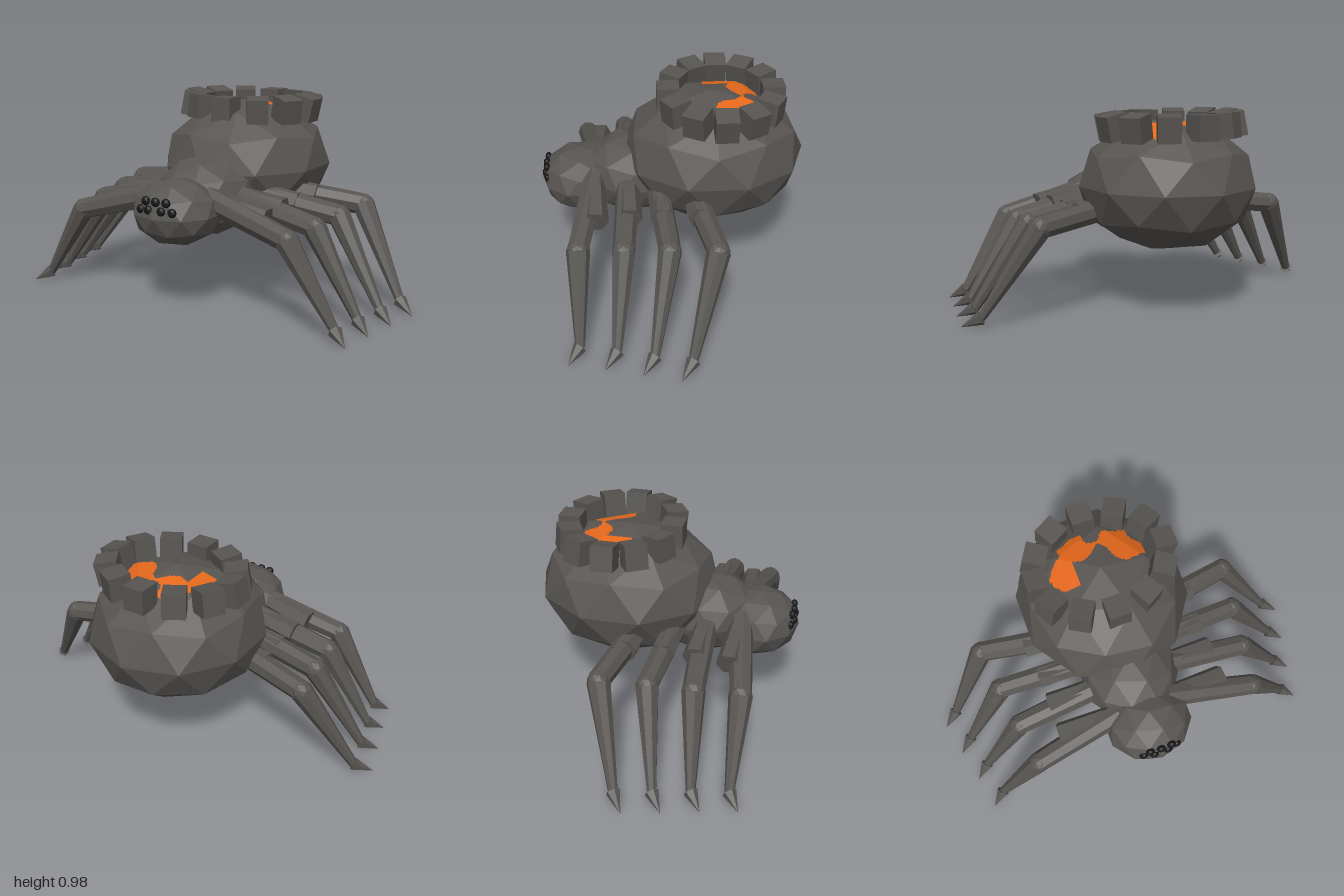
import * as THREE from 'three';

const mat = (name, color) => {
  const m = new THREE.MeshStandardMaterial({ color, flatShading: true });
  m.name = name;
  return m;
};

// Faceted ellipsoid with a vertex at each pole and a ten-sided equator
function facetedBall(cx, cy, cz, rx, ry, rz) {
  const g = new THREE.IcosahedronGeometry(1, 1);
  g.rotateX(-Math.atan((1 + Math.sqrt(5)) / 2));
  g.rotateY(Math.PI / 2);
  g.scale(rx, ry, rz);
  g.translate(cx, cy, cz);
  return g;
}

// Tapered rod between two points
function rod(a, b, ra, rb, sides = 8) {
  const p = new THREE.Vector3(...a), q = new THREE.Vector3(...b);
  const d = q.clone().sub(p);
  const g = new THREE.CylinderGeometry(rb, ra, d.length(), sides);
  g.applyQuaternion(new THREE.Quaternion().setFromUnitVectors(new THREE.Vector3(0, 1, 0), d.normalize()));
  p.add(q).multiplyScalar(0.5);
  g.translate(p.x, p.y, p.z);
  return g;
}

// Height of the upper side of a convex faceted body
function heightOver(geometry) {
  const pos = geometry.attributes.position, tri = new THREE.Triangle(), planes = [];
  for (let i = 0; i < pos.count; i += 3) {
    tri.setFromAttributeAndIndices(pos, i, i + 1, i + 2);
    const n = tri.getNormal(new THREE.Vector3());
    if (n.y > 0.01) planes.push([n, n.dot(tri.a)]);
  }
  return (x, z) => Math.min(...planes.map(([n, d]) => (d - n.x * x - n.z * z) / n.y));
}

function inside(x, z, outline) {
  let hit = false;
  outline.forEach(([ax, az], i) => {
    const [bx, bz] = outline[(i + 1) % outline.length];
    if ((az > z) !== (bz > z) && x < ax + ((bx - ax) * (z - az)) / (bz - az)) hit = !hit;
  });
  return hit;
}

export function createModel() {
  const model = new THREE.Group();
  const rock = mat('dark rock', 0x575451);
  const lava = mat('glowing orange', 0xea6a1c);
  const black = mat('eye black', 0x161616);
  lava.side = THREE.DoubleSide;
  const add = (name, geometry, material = rock, parent = model) => {
    const m = new THREE.Mesh(geometry, material);
    m.name = name;
    parent.add(m);
    return m;
  };

  // Body
  const abdomen = facetedBall(0, 0.62, -0.2, 0.433, 0.325, 0.46);
  add('abdomen', abdomen);
  add('thorax', facetedBall(0, 0.51, 0.19, 0.25, 0.2, 0.27));
  add('head', facetedBall(0, 0.48, 0.46, 0.22, 0.16, 0.2));

  // Eyes: three above four
  for (const [x, y, z] of [[-0.055, 0.557, 0.628], [0, 0.557, 0.632], [0.055, 0.557, 0.628],
    [-0.085, 0.515, 0.625], [-0.035, 0.518, 0.638], [0.035, 0.518, 0.638], [0.085, 0.515, 0.625]]) {
    add('eye', facetedBall(x, y, z, 0.023, 0.022, 0.017), black);
  }

  // Ring of twelve leaning blocks around the crater
  for (let i = 0; i < 12; i++) {
    const a = (i * Math.PI) / 6, c = Math.cos(a), s = Math.sin(a);
    const block = add('craterBlock', new THREE.BoxGeometry(0.11, 0.12, 0.108));
    block.position.set(0.32 * c, 0.912, -0.237 + 0.257 * s);
    block.rotation.set(0, -a, -0.22 * c);
  }

  // Ragged lava patch laid over the top facets
  const outline = [[-0.24, -0.26], [-0.2, -0.31], [-0.155, -0.34], [-0.165, -0.38], [-0.12, -0.4],
    [-0.085, -0.42], [-0.03, -0.42], [-0.02, -0.36], [0.03, -0.345], [0.075, -0.4], [0.14, -0.385],
    [0.19, -0.39], [0.195, -0.335], [0.235, -0.295], [0.235, -0.225], [0.18, -0.215], [0.13, -0.205],
    [0.085, -0.24], [0.07, -0.295], [0.03, -0.335], [-0.01, -0.295], [-0.065, -0.265],
    [-0.11, -0.285], [-0.11, -0.16], [-0.19, -0.16], [-0.235, -0.21]];
  const top = heightOver(abdomen), step = 0.008, points = [];
  for (let x = -0.25; x < 0.25; x += step) {
    for (let z = -0.43; z < -0.14; z += step) {
      if (!inside(x + step / 2, z + step / 2, outline)) continue;
      for (const [u, v] of [[0, 0], [0, 1], [1, 1], [0, 0], [1, 1], [1, 0]]) {
        const px = x + u * step, pz = z + v * step;
        points.push(px, top(px, pz) + 0.004, pz);
      }
    }
  }
  const patch = new THREE.BufferGeometry();
  patch.setAttribute('position', new THREE.Float32BufferAttribute(points, 3));
  patch.computeVertexNormals();
  add('lavaPatch', patch, lava);

  // Legs, front to back: hip, coxa end, knee, ankle, claw tip
  const legs = [
    [[0.12, 0.54, 0.385], [0.43, 0.475, 0.375], [0.57, 0.42, 0.455], [0.81, 0.05, 0.455], [0.88, 0.005, 0.507]],
    [[0.12, 0.54, 0.22], [0.43, 0.49, 0.215], [0.605, 0.435, 0.245], [0.845, 0.05, 0.285], [0.917, 0.005, 0.34]],
    [[0.12, 0.53, 0.085], [0.43, 0.485, 0.06], [0.635, 0.45, 0.037], [0.885, 0.05, 0.115], [0.96, 0.005, 0.17]],
    [[0.2, 0.52, -0.08], [0.45, 0.495, -0.115], [0.67, 0.465, -0.18], [0.92, 0.05, -0.055], [1, 0.005, 0]],
  ];
  for (const side of [1, -1]) {
    for (const joints of legs) {
      const [hip, coxa, knee, ankle, tip] = joints.map(([x, y, z]) => [x * side, y, z]);
      const leg = new THREE.Group();
      leg.name = side > 0 ? 'leftLeg' : 'rightLeg';
      model.add(leg);
      add('coxa', rod(hip, coxa, 0.045, 0.06, 6), rock, leg);
      add('upperLeg', rod(hip, knee, 0.06, 0.052), rock, leg);
      add('knee', facetedBall(...knee, 0.053, 0.053, 0.053), rock, leg);
      add('lowerLeg', rod(knee, ankle, 0.056, 0.022), rock, leg);
      add('claw', rod(ankle, tip, 0.034, 0.001, 6), rock, leg);
    }
  }
  return model;
}
